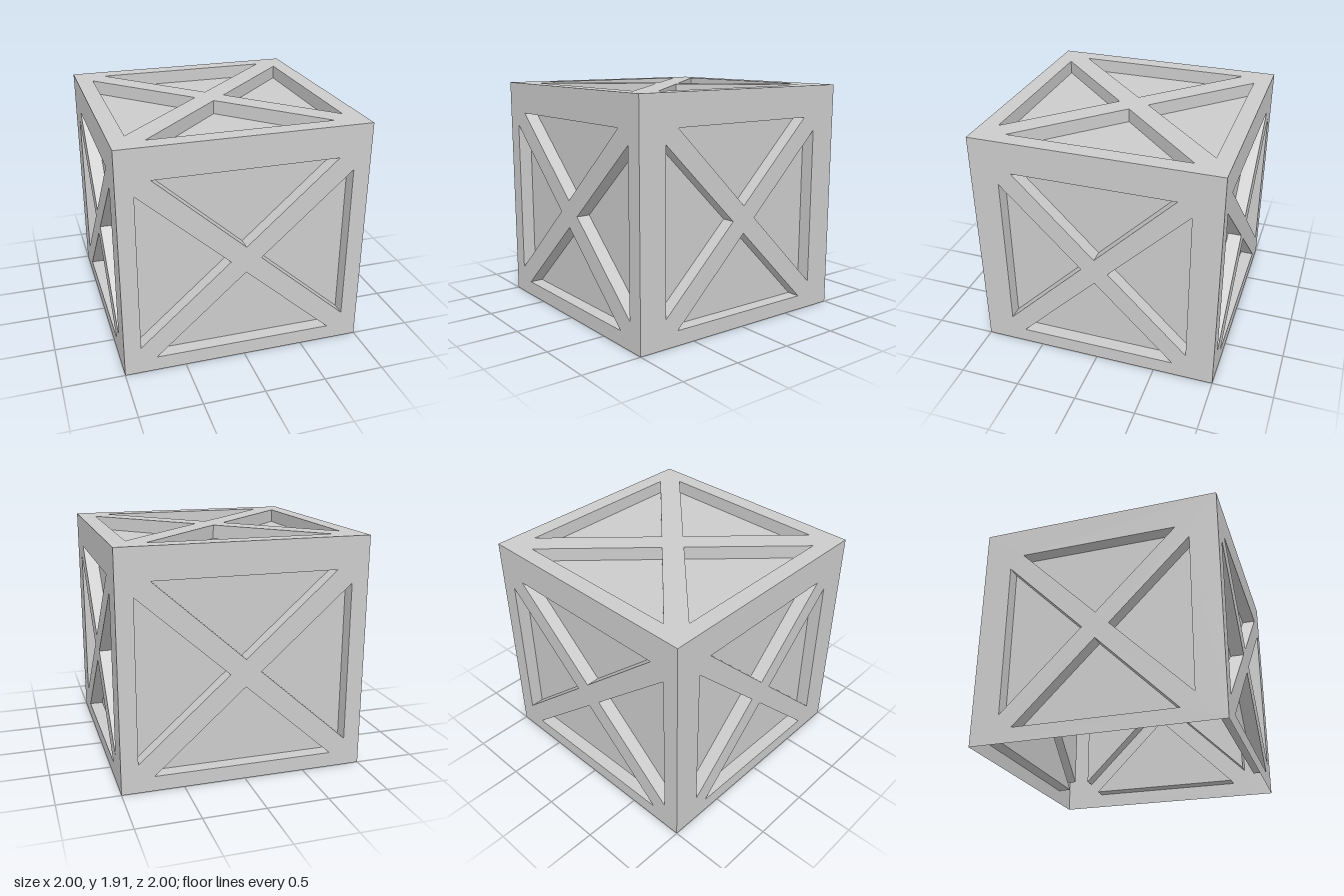
import * as THREE from 'three';

const HEIGHT = 1.915;   // overall height
const WALL = 1.78;      // wall height below the lid
const DEPTH = 0.113;    // depth of the triangular recesses

const material = new THREE.MeshStandardMaterial({
  color: 0xcccccc, flatShading: true, side: THREE.DoubleSide,
});

// Four triangles left between the frame and the diagonal braces
function braceTriangles(sx, sy, cy) {
  const base = [[0.125, 0], [0.863, -0.737], [0.863, 0.737]];
  return [0, 1, 2, 3].map((k) => base.map(([x, y]) => {
    const c = [1, 0, -1, 0][k], s = [0, 1, 0, -1][k];
    return new THREE.Vector2((x * c - y * s) * sx, (x * s + y * c) * sy + cy);
  }));
}

// Three walls and the floor of one triangular recess
function recessGeometry(tri) {
  const points = [];
  for (const z of [0, -DEPTH]) for (const p of tri) points.push(p.x, p.y, z);
  const index = [3, 4, 5];
  for (let i = 0; i < 3; i++) {
    const j = (i + 1) % 3;
    index.push(i, i + 3, j, j, i + 3, j + 3);
  }
  const g = new THREE.BufferGeometry();
  g.setAttribute('position', new THREE.Float32BufferAttribute(points, 3));
  g.setIndex(index.reverse());
  const flat = g.toNonIndexed();
  flat.computeVertexNormals();
  return flat;
}

// One thin panel facing +z: X-braced frame with recessed infill
function makePanel(name, y0, y1, sx, sy, cy) {
  const group = new THREE.Group();
  group.name = name;
  const outline = new THREE.Shape([
    new THREE.Vector2(-1, y0), new THREE.Vector2(1, y0),
    new THREE.Vector2(1, y1), new THREE.Vector2(-1, y1),
  ]);
  const triangles = braceTriangles(sx, sy, cy);
  for (const t of triangles) outline.holes.push(new THREE.Path(t));
  const frame = new THREE.Mesh(new THREE.ShapeGeometry(outline), material);
  frame.name = 'bracedFrame';
  group.add(frame);
  for (const t of triangles) {
    const recess = new THREE.Mesh(recessGeometry(t), material);
    recess.name = 'recessedInfill';
    group.add(recess);
  }
  return group;
}

export function createModel() {
  const crate = new THREE.Group();
  crate.name = 'crate';

  // Four walls; the two side walls carry a narrower brace pattern
  ['frontWall', 'leftWall', 'backWall', 'rightWall'].forEach((name, i) => {
    const a = i * Math.PI / 2;
    const wall = makePanel(name, 0, HEIGHT, i % 2 ? WALL / 2 : 1, WALL / 2, WALL / 2);
    wall.rotation.y = a;
    wall.position.set(Math.sin(a), 0, Math.cos(a));
    crate.add(wall);
  });

  // Lid; the underside of the crate stays open
  const lid = makePanel('lid', -1, 1, 1, 1, 0);
  lid.rotation.x = -Math.PI / 2;
  lid.position.y = HEIGHT;
  crate.add(lid);

  return crate;
}
